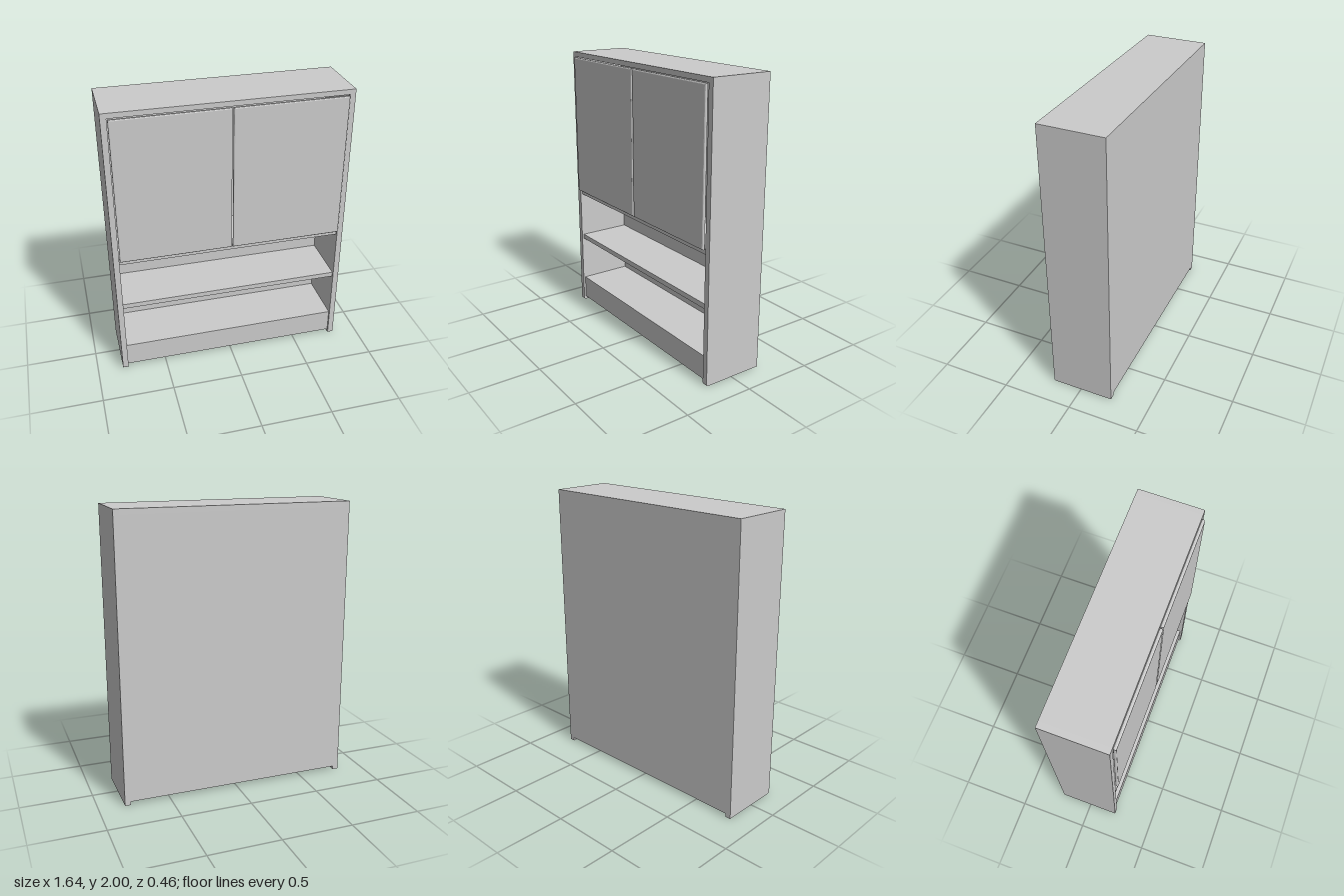
import * as THREE from 'three';

const material = new THREE.MeshStandardMaterial({ color: 0xcccccc, flatShading: true });
const BACK = -0.23, FRONT = 0.21, INNER = 0.78, OUTER = 0.82;

export function createModel() {
  const group = new THREE.Group();
  group.name = 'cabinet';

  const add = (name, geometry) => {
    const mesh = new THREE.Mesh(geometry, material);
    mesh.name = name;
    group.add(mesh);
    return mesh;
  };

  // Board spanning the gap between the side panels
  const board = (name, y0, y1, z0, z1) => {
    add(name, new THREE.BoxGeometry(INNER * 2, y1 - y0, z1 - z0))
      .position.set(0, (y0 + y1) / 2, (z0 + z1) / 2);
  };

  // Side profile (z, y) with the lower front corner eased
  const profile = new THREE.Shape();
  profile.moveTo(BACK, 0);
  profile.lineTo(FRONT - 0.015, 0);
  profile.quadraticCurveTo(FRONT, 0, FRONT, 0.015);
  profile.lineTo(FRONT, 2);
  profile.lineTo(BACK, 2);
  profile.closePath();

  // Door outline is drawn smaller, then grown by its bevel
  const bevel = 0.008, doorW = 0.772, doorH = 1.022;
  const outline = new THREE.Shape();
  const w = doorW / 2 - bevel, h = doorH / 2 - bevel;
  outline.moveTo(-w, -h);
  outline.lineTo(w, -h);
  outline.lineTo(w, h);
  outline.lineTo(-w, h);
  outline.closePath();

  for (const [side, s] of [['left', 1], ['right', -1]]) {
    const panel = new THREE.ExtrudeGeometry(profile, {
      depth: OUTER - INNER, bevelEnabled: false, curveSegments: 4,
    });
    panel.rotateY(-Math.PI / 2); // profile z axis now runs along world z
    add(side + 'SidePanel', panel).position.x = s > 0 ? OUTER : -INNER;

    const door = new THREE.ExtrudeGeometry(outline, {
      depth: 0.006, bevelSize: bevel, bevelThickness: bevel, bevelSegments: 3,
    });
    add(side + 'Door', door)
      .position.set(s * (0.004 + doorW / 2), 0.94 + doorH / 2, FRONT - 0.002 + bevel);
  }

  // Carcass
  const shelfFront = FRONT - 0.015, backInner = -0.185;
  board('topPanel', 1.965, 2, BACK, FRONT);
  board('backPanel', 0.025, 1.965, BACK, backInner);
  board('fixedShelf', 0.9, 0.938, backInner, shelfFront);
  board('middleShelf', 0.53, 0.565, backInner, shelfFront);

  // Base with a shallow recess underneath, closed by the kick board
  board('baseShelf', 0.055, 0.195, backInner, shelfFront - 0.035);
  board('kickBoard', 0.025, 0.195, shelfFront - 0.035, shelfFront);

  return group;
}
